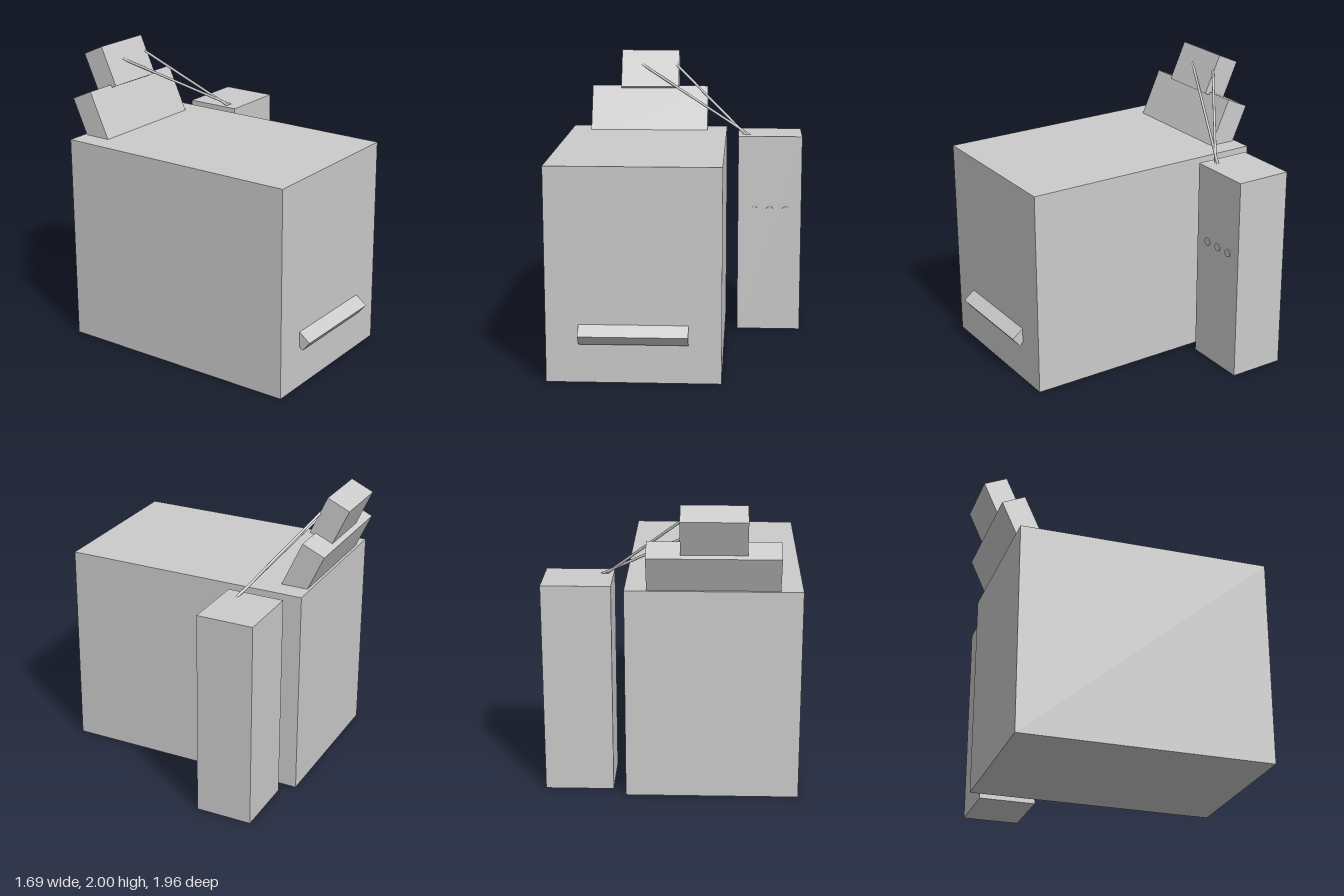
import * as THREE from 'three';

export function createModel() {
  const group = new THREE.Group();
  const mat = new THREE.MeshStandardMaterial({ color: 0xcccccc });

  const add = (name, geo, x, y, z, rx = 0) => {
    const mesh = new THREE.Mesh(geo, mat);
    mesh.name = name;
    mesh.position.set(x, y, z);
    mesh.rotation.x = rx;
    group.add(mesh);
    return mesh;
  };

  // Box given by its x range, the (y, z) of its upper front edge, height, depth and tilt about x
  const tilted = (name, x0, x1, y, z, h, d, tilt) => {
    const geo = new THREE.BoxGeometry(x1 - x0, h, d).translate(0, -h / 2, -d / 2);
    return add(name, geo, (x0 + x1) / 2, y, z, tilt);
  };

  // Main cabinet and the separate side cabinet
  tilted('mainCabinet', -0.848, 0.298, 1.432, 0.904, 1.432, 1.718, 0);
  tilted('sideCabinet', 0.386, 0.843, 1.432, -0.335, 1.432, 0.39, 0);

  // Leaning panels on top, the smaller one behind the larger one's upper edge
  const lean = -0.428;
  tilted('lowerPanel', -0.703, 0.155, 1.743, -0.75, 0.38, 0.17, lean);
  tilted('upperPanel', -0.488, -0.062, 2.0, -0.826, 0.286, 0.17, lean);

  // Slanted chute on the front, its inner end sunk into the cabinet
  tilted('frontChute', -0.632, 0.083, 0.331, 0.981, 0.083, 0.16, 0.67);

  // Three round buttons on the side cabinet
  for (const x of [0.502, 0.615, 0.729]) {
    add('button', new THREE.CylinderGeometry(0.028, 0.028, 0.014, 24), x, 0.892, -0.336, Math.PI / 2);
  }

  // Cables from the upper panel down into the side cabinet
  const cable = (a, b) => {
    const from = new THREE.Vector3(...a), to = new THREE.Vector3(...b);
    const dir = to.clone().sub(from);
    const mid = from.clone().add(to).multiplyScalar(0.5);
    const mesh = add('cable', new THREE.CylinderGeometry(0.009, 0.009, dir.length(), 16), mid.x, mid.y, mid.z);
    mesh.quaternion.setFromUnitVectors(new THREE.Vector3(0, 1, 0), dir.normalize());
  };
  cable([-0.335, 1.895, -0.786], [0.475, 1.422, -0.428]);
  cable([-0.08, 1.895, -0.783], [0.447, 1.42, -0.428]);

  return group;
}
